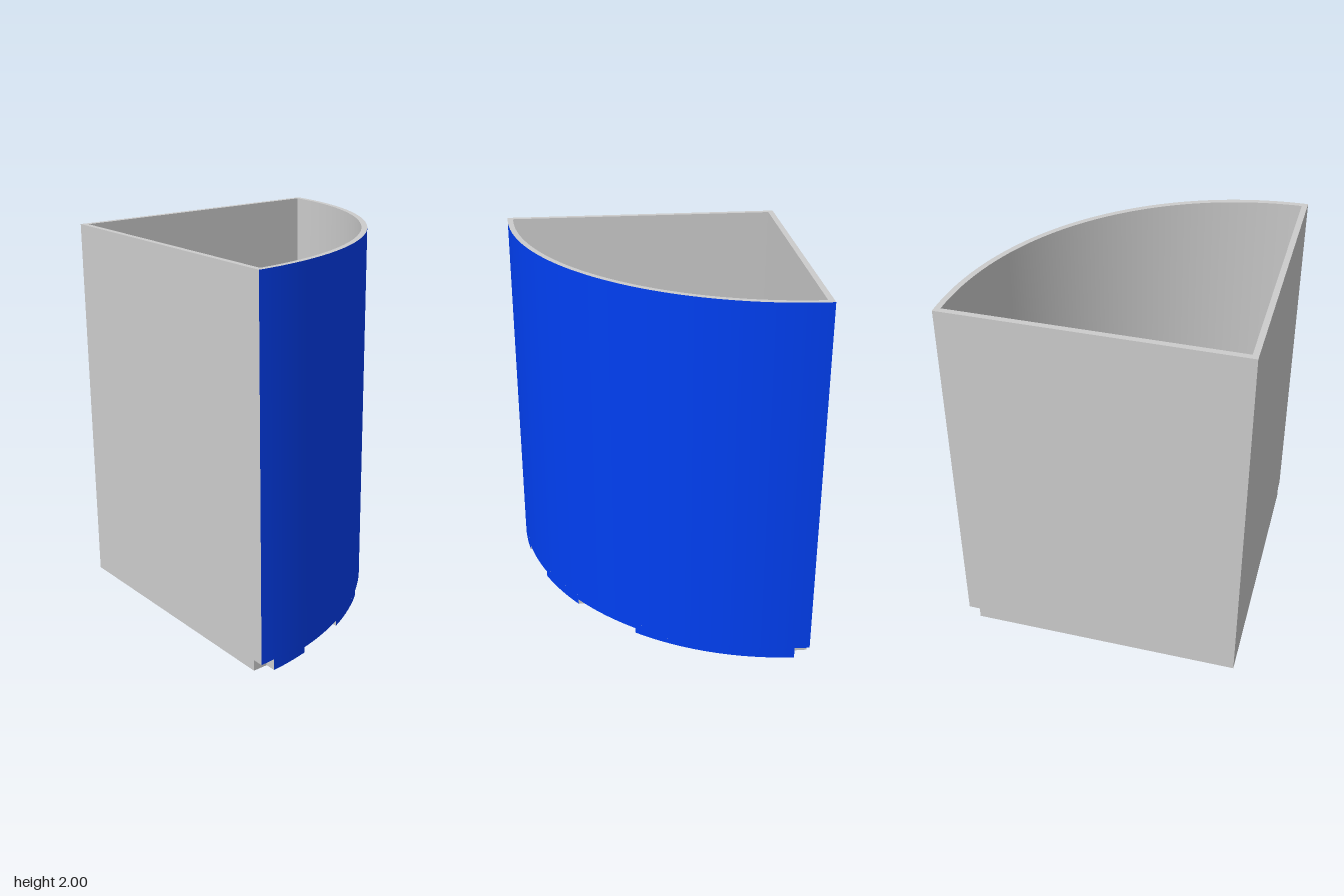
import * as THREE from 'three';
import { toCreasedNormals } from 'three/addons/utils/BufferGeometryUtils.js';

const R = 1.5;          // outer radius of the quarter round
const WALL = 0.03;      // wall and floor thickness
const HEIGHT = 2;
const CUT = 0.08;       // notch length along the flat walls
const TIP = 1.44;       // where the notches start, from the square corner
const NOTCH_TOP = 0.06;

const grey = new THREE.MeshStandardMaterial({ color: 0xcccccc });
const blue = new THREE.MeshStandardMaterial({ color: 0x003ff2 });

// Points are [u, v], measured from the square corner along x and z.
function arc(r, a0, a1) {
  const n = Math.max(2, Math.ceil(Math.abs(a1 - a0) / (Math.PI / 2) * 80));
  return Array.from({ length: n + 1 }, (_, i) => {
    const a = a0 + (a1 - a0) * i / n;
    return [r * Math.cos(a), r * Math.sin(a)];
  });
}
const atU = (u, r = R) => Math.acos(u / r);
const atV = (v, r = R) => Math.asin(v / r);
const toVectors = (pts) => pts.map(([u, v]) => new THREE.Vector2(u - R / 2, R / 2 - v));

// Extrudes an outline upward and gives its outer curved face its own blue mesh.
// A hole must run the opposite way round to the outline.
function slab(name, y0, y1, outline, hole) {
  const shape = new THREE.Shape(toVectors(outline));
  if (hole) shape.holes.push(new THREE.Path(toVectors(hole)));
  let geo = new THREE.ExtrudeGeometry(shape, { depth: y1 - y0, bevelEnabled: false });
  geo.rotateX(-Math.PI / 2).translate(0, y0, 0);
  geo = toCreasedNormals(geo, 0.3);

  const pos = geo.attributes.position, nor = geo.attributes.normal;
  const parts = { body: { p: [], n: [] }, face: { p: [], n: [] } };
  for (let i = 0; i < pos.count; i += 3) {
    const corners = [i, i + 1, i + 2];
    const curved = corners.every((k) =>
      Math.abs(Math.hypot(pos.getX(k) + R / 2, pos.getZ(k) + R / 2) - R) < 1e-4 &&
      Math.abs(nor.getY(k)) < 0.1);
    const part = curved ? parts.face : parts.body;
    for (const k of corners) {
      part.p.push(pos.getX(k), pos.getY(k), pos.getZ(k));
      part.n.push(nor.getX(k), nor.getY(k), nor.getZ(k));
    }
  }
  const group = new THREE.Group();
  group.name = name;
  for (const [key, material] of [['body', grey], ['face', blue]]) {
    const { p, n } = parts[key];
    if (!p.length) continue;
    const g = new THREE.BufferGeometry();
    g.setAttribute('position', new THREE.Float32BufferAttribute(p, 3));
    g.setAttribute('normal', new THREE.Float32BufferAttribute(n, 3));
    const mesh = new THREE.Mesh(g, material);
    mesh.name = key === 'face' ? name + 'CurvedFace' : name + 'Body';
    group.add(mesh);
  }
  return group;
}

export function createModel() {
  const model = new THREE.Group();
  model.name = 'quarterRoundBin';

  // Floor with two slots open to the curved side and a notch at each tip
  model.add(slab('floor', 0, WALL, [
    [0, 0], [TIP, 0], [TIP, CUT],
    ...arc(R, atV(CUT), atU(1.2)),
    [1.2, 0.3], [0.9, 0.3],
    ...arc(R, atU(0.9), atU(0.6)),
    [0.6, 0.3], [0.3, 0.3],
    ...arc(R, atU(0.3), atU(CUT)),
    [CUT, TIP], [0, TIP],
  ]));

  // Low walls beside the notches
  model.add(slab('lowFlatWalls', WALL, NOTCH_TOP, [
    [0, 0], [TIP, 0], [TIP, WALL], [WALL, WALL], [WALL, TIP], [0, TIP],
  ]));
  const ri = R - WALL;
  model.add(slab('lowCurvedWall', WALL, NOTCH_TOP, [
    ...arc(R, atV(CUT), atU(CUT)),
    ...arc(ri, atU(CUT, ri), atV(CUT, ri)),
  ]));

  // Full walls up to the open rim
  model.add(slab('walls', NOTCH_TOP, HEIGHT,
    [[0, 0], ...arc(R, 0, Math.PI / 2)],
    [[WALL, WALL], ...arc(ri, atU(WALL, ri), atV(WALL, ri))]));

  return model;
}
